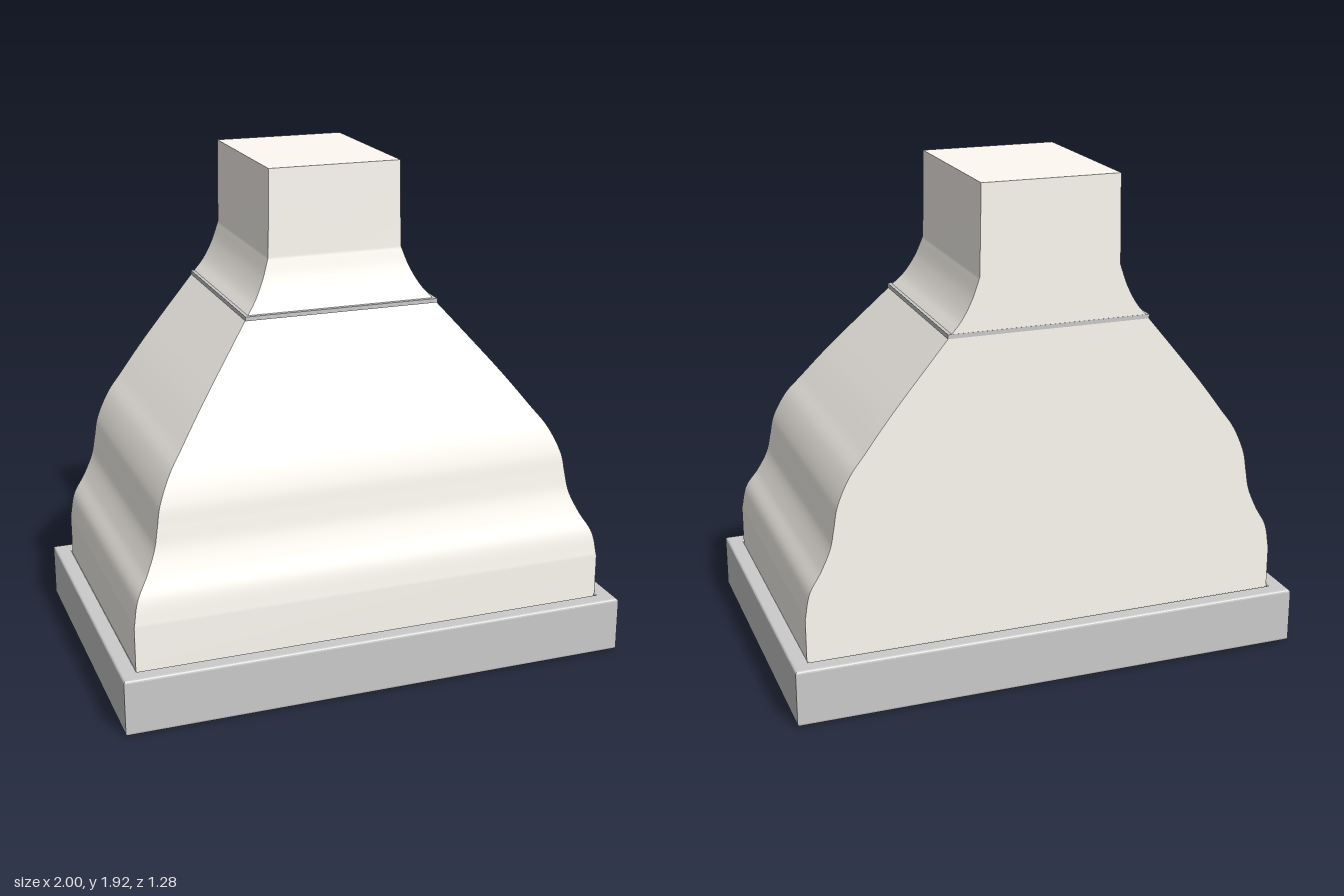
import * as THREE from 'three';

const BACK = -0.56;

// Outline of the hood as half-width x against height y
function hoodProfile() {
  const bend = [
    [0.937, 0.38], [0.917, 0.48], [0.872, 0.56], [0.835, 0.645], [0.82, 0.72], [0.805, 0.8],
    [0.757, 0.907], [0.7, 0.985], [0.602, 1.115], [0.38, 1.385], [0.335, 1.44], [0.297, 1.51], [0.268, 1.59],
  ].map(([x, y]) => new THREE.Vector3(x, y, 0));
  const curve = new THREE.CatmullRomCurve3(bend, false, 'centripetal');
  return [new THREE.Vector3(0.937, 0.12, 0), ...curve.getPoints(96), new THREE.Vector3(0.262, 1.923, 0)];
}

// The front depth shrinks in proportion to the half-width
const frontZ = (x) => 0.1 + 0.677 * (x - 0.265);

// Strip of quads between rows of [left, right] points, seen from outside
function panel(name, rows, material) {
  const positions = [], index = [];
  rows.forEach(([a, b], i) => {
    positions.push(...a, ...b);
    if (i) {
      const k = 2 * i - 2;
      index.push(k, k + 1, k + 3, k, k + 3, k + 2);
    }
  });
  const geometry = new THREE.BufferGeometry();
  geometry.setAttribute('position', new THREE.Float32BufferAttribute(positions, 3));
  geometry.setIndex(index);
  geometry.computeVertexNormals();
  const mesh = new THREE.Mesh(geometry, material);
  mesh.name = name;
  return mesh;
}

function rectangle(target, w, d) {
  target.moveTo(-w, -d);
  target.lineTo(w, -d);
  target.lineTo(w, d);
  target.lineTo(-w, d);
  target.closePath();
  return target;
}

export function createModel() {
  const group = new THREE.Group();
  group.name = 'rangeHood';
  const cream = new THREE.MeshStandardMaterial({ color: 0xfffbf4 });
  const grey = new THREE.MeshStandardMaterial({ color: 0xcccccc });

  // Hood shell: four panels and two caps, with sharp edges between them
  const hood = new THREE.Group();
  hood.name = 'hood';
  hood.position.x = 0.002;
  const rings = hoodProfile().map(({ x, y }) => [
    [-x, y, frontZ(x)], [x, y, frontZ(x)], [x, y, BACK], [-x, y, BACK],
  ]);
  ['frontPanel', 'leftPanel', 'backPanel', 'rightPanel'].forEach((name, i) => {
    hood.add(panel(name, rings.map((r) => [r[i], r[(i + 1) % 4]]), cream));
  });
  const top = rings[rings.length - 1], bottom = rings[0];
  hood.add(panel('topCap', [[top[0], top[1]], [top[3], top[2]]], cream));
  hood.add(panel('bottomCap', [[bottom[3], bottom[2]], [bottom[0], bottom[1]]], cream));

  // Thin trim band around the neck
  const trim = new THREE.Mesh(new THREE.BoxGeometry(0.774, 0.016, 0.751), grey);
  trim.name = 'trimBand';
  trim.position.set(0, 1.385, -0.1855);
  hood.add(trim);
  group.add(hood);

  // Open rectangular base frame with softened edges
  const bevel = 0.01, height = 0.22;
  const shape = rectangle(new THREE.Shape(), 1, 0.64);
  shape.holes.push(rectangle(new THREE.Path(), 0.935, 0.572));
  const frameGeometry = new THREE.ExtrudeGeometry(shape, {
    depth: height - 2 * bevel, bevelThickness: bevel, bevelSize: bevel, bevelOffset: -bevel, bevelSegments: 3,
  });
  frameGeometry.translate(0, 0, bevel);
  frameGeometry.rotateX(-Math.PI / 2);
  const frame = new THREE.Mesh(frameGeometry, grey);
  frame.name = 'baseFrame';
  group.add(frame);

  return group;
}
